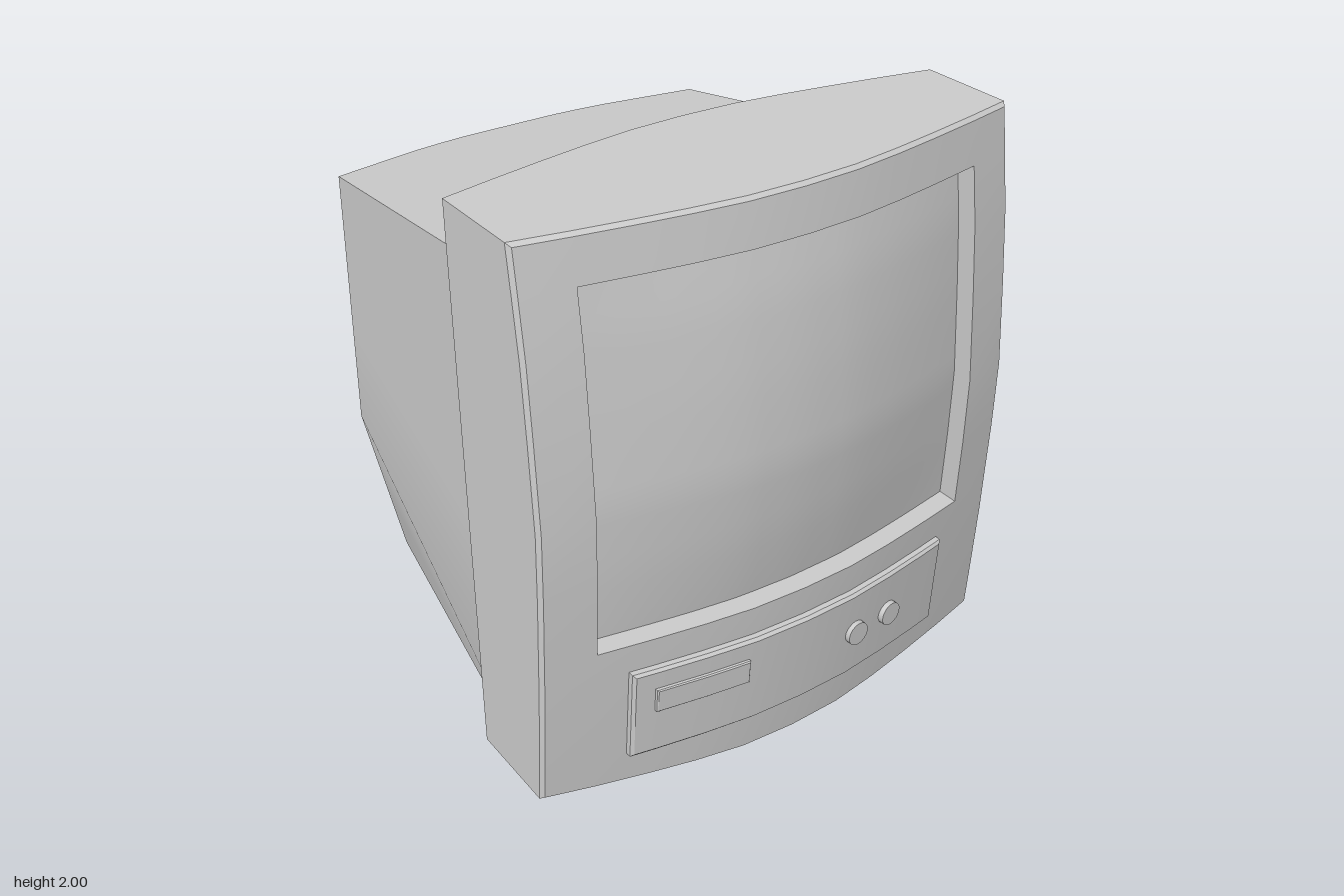
import * as THREE from 'three';
import { mergeGeometries, toCreasedNormals } from 'three/addons/utils/BufferGeometryUtils.js';

const material = new THREE.MeshStandardMaterial({ color: 0xcccccc });

// Linear interpolation through [key, value] pairs
function sample(table, t) {
  let i = 1;
  while (i < table.length - 1 && t > table[i][0]) i++;
  const [a, va] = table[i - 1], [b, vb] = table[i];
  return va + (vb - va) * (t - a) / (b - a);
}

// Table keys between a and b, with both ends included
function nodes(table, a, b) {
  return [a, ...table.map(p => p[0]).filter(k => k > a + 0.005 && k < b - 0.005), b];
}

// Surface over us x vs; it faces (du x dv). keep() can leave cells out.
function grid(us, vs, f, keep = () => true) {
  const pos = [], index = [], n = us.length;
  for (const v of vs) for (const u of us) pos.push(...f(u, v));
  for (let j = 0; j < vs.length - 1; j++) for (let i = 0; i < n - 1; i++) {
    if (!keep((us[i] + us[i + 1]) / 2, (vs[j] + vs[j + 1]) / 2)) continue;
    const a = j * n + i;
    index.push(a, a + 1, a + n + 1, a, a + n + 1, a + n);
  }
  const g = new THREE.BufferGeometry();
  g.setAttribute('position', new THREE.Float32BufferAttribute(pos, 3));
  g.setIndex(index);
  return g;
}

// Closed counter-clockwise rectangle outline through the given stations
function outline(xs, ys) {
  const x0 = xs[0], x1 = xs.at(-1), y0 = ys[0], y1 = ys.at(-1);
  return [...xs.map(x => [x, y0]), ...ys.slice(1).map(y => [x1, y]),
    ...xs.slice(0, -1).reverse().map(x => [x, y1]), ...ys.slice(0, -1).reverse().map(y => [x0, y])];
}

// Walls following an outline; rings run over 0..count-1
function walls(loop, count, f) {
  return grid([...loop.keys()], [...Array(count).keys()], (i, k) => f(loop[i][0], loop[i][1], k));
}

function part(name, ...geometries) {
  const mesh = new THREE.Mesh(toCreasedNormals(mergeGeometries(geometries), 0.5), material);
  mesh.name = name;
  return mesh;
}

// Bezel shape: setback away from the middle, and the vertical front profile
const halfSetback = [[0.2, 0.007], [0.38, 0.03], [0.55, 0.058], [0.74, 0.093], [0.92, 0.13]];
const setback = [...halfSetback.map(([x, d]) => [-x, d]).reverse(), [0, 0], ...halfSetback];
const profile = [[0, 0.89], [0.16, 0.9], [0.5, 0.917], [0.61, 0.92], [0.85, 0.928], [1.1, 0.93],
  [1.4, 0.905], [1.65, 0.88], [1.845, 0.85], [2, 0.825]];
const W = 0.92, OX = 0.74, OY0 = 0.61, OY1 = 1.845, BEVEL = 0.012;
const frontZ = (x, y) => sample(profile, y) - sample(setback, x);
const backZ = (x, y) => 0.195 + sample(setback, x) + (2 - y) * 0.04;
const bezelY = (x, v) => v + (v < 0.5 ? 0.45 * sample(setback, x) * (1 - v / 0.5) : 0);

function bezel() {
  const clamp = THREE.MathUtils.clamp;
  const xs = nodes(setback, -W, W), ys = nodes(profile, 0, 2);
  const inset = (u, v) => {
    const x = clamp(u, BEVEL - W, W - BEVEL);
    return [x, bezelY(x, clamp(v, BEVEL, 2 - BEVEL))];
  };
  const face = zOf => (u, v) => { const [x, y] = inset(u, v); return [x, y, zOf(x, y)]; };
  const front = grid(xs, ys, face(frontZ), (x, y) => Math.abs(x) > OX || y < OY0 || y > OY1);
  const back = grid([...xs].reverse(), ys, face(backZ));
  const rim = walls(outline(xs, ys), 4, (u, v, k) => {
    const [x, y] = k === 0 || k === 3 ? inset(u, v) : [u, bezelY(u, v)];
    return [x, y, [backZ(x, y), backZ(x, y) + BEVEL, frontZ(x, y) - BEVEL, frontZ(x, y)][k]];
  });
  return part('bezel', front, back, rim);
}

// Domed glass, shallowest in the middle of the opening
function screenZ(x, y) {
  const u = (x / OX) ** 2, v = ((y - (OY0 + OY1) / 2) / ((OY1 - OY0) / 2)) ** 2;
  return frontZ(x, y) - 0.043 - 0.032 * (u + v - u * v);
}

// Thin bevelled plate that follows the bezel front
function plate(name, x0, x1, y0, y1, height, bevel) {
  const xs = nodes(setback, x0, x1), ys = nodes(profile, y0, y1);
  const cx = (x0 + x1) / 2, cy = (y0 + y1) / 2;
  const sx = 1 - 2 * bevel / (x1 - x0), sy = 1 - 2 * bevel / (y1 - y0);
  const top = (x, y) => [cx + (x - cx) * sx, cy + (y - cy) * sy, frontZ(x, y) + height];
  return part(name, grid(xs, ys, top), walls(outline(xs, ys), 3, (x, y, k) =>
    k === 2 ? top(x, y) : [x, y, frontZ(x, y) + (k ? height - bevel : -0.02)]));
}

// Rear housing: tapers to the back, with lower corners drawn in and a bowed back
function housing() {
  const bulge = [[0, 0.055], [0.17, 0.11], [0.395, 0.16], [0.62, 0.175], [0.75, 0.165], [1, 0.105]];
  const bow = [[0, 1], [0.26, 0.99], [0.4, 0.9], [0.54, 0.76], [0.75, 0.42], [1, 0]];
  const KINK = 0.395, FRONT = 0.45;
  const us = [...bow.slice(1).map(p => -p[0]).reverse(), ...bow.map(p => p[0])];
  const vs = bulge.map(p => p[0]);
  const height = (v, z) => THREE.MathUtils.lerp(0.05 + 0.03 * z, 1.73 + 0.142 * z, v);
  const rear = (u, v) => {
    const z = -0.78 - sample(bulge, v) * sample(bow, Math.abs(u));
    return [u * (0.74 - 0.14 * Math.max(0, 1 - v / KINK)), height(v, z), z];
  };
  const fore = (u, v) => [u * 0.84, height(Math.max(0, (v - KINK) / (1 - KINK)), FRONT), FRONT];
  const at = (u, v, s) => (s ? fore : rear)(u, v);
  const ends = [0, 1];
  return part('rearHousing',
    grid([...us].reverse(), vs, rear),
    grid(ends, us, (s, u) => at(u, 1, s)),
    grid(us, ends, (u, s) => at(u, 0, s)),
    grid(vs, ends, (v, s) => at(1, v, s)),
    grid(ends, vs, (s, v) => at(-1, v, s)));
}

export function createModel() {
  const group = new THREE.Group();
  group.name = 'monitor';
  group.add(bezel(), housing());

  // Screen and the walls of its opening
  const xs = nodes(setback, -OX, OX), ys = nodes(profile, OY0, OY1);
  const steps = (n, a, b) => Array.from({ length: n + 1 }, (_, i) => a + (b - a) * i / n);
  group.add(part('screen', grid(steps(20, -OX, OX), steps(20, OY0, OY1),
    (x, y) => [x, y, screenZ(x, y)])));
  group.add(part('screenSurround', walls(outline(xs, ys), 2,
    (x, y, k) => [x, y, k ? screenZ(x, y) - 0.01 : frontZ(x, y)])));

  // Control panel with a flap and two knobs
  group.add(plate('controlPanel', -0.635, 0.65, 0.16, 0.505, 0.03, 0.01));
  group.add(plate('controlFlap', -0.56, -0.23, 0.34, 0.43, 0.043, 0.004));
  for (const x of [0.22, 0.38]) {
    const knob = new THREE.Mesh(new THREE.CylinderGeometry(0.043, 0.043, 0.06, 24), material);
    knob.name = 'knob';
    knob.rotation.x = Math.PI / 2;
    knob.rotation.z = -Math.atan(x * 0.35);
    knob.position.set(x, 0.34, frontZ(x, 0.34) + 0.019);
    group.add(knob);
  }
  return group;
}
